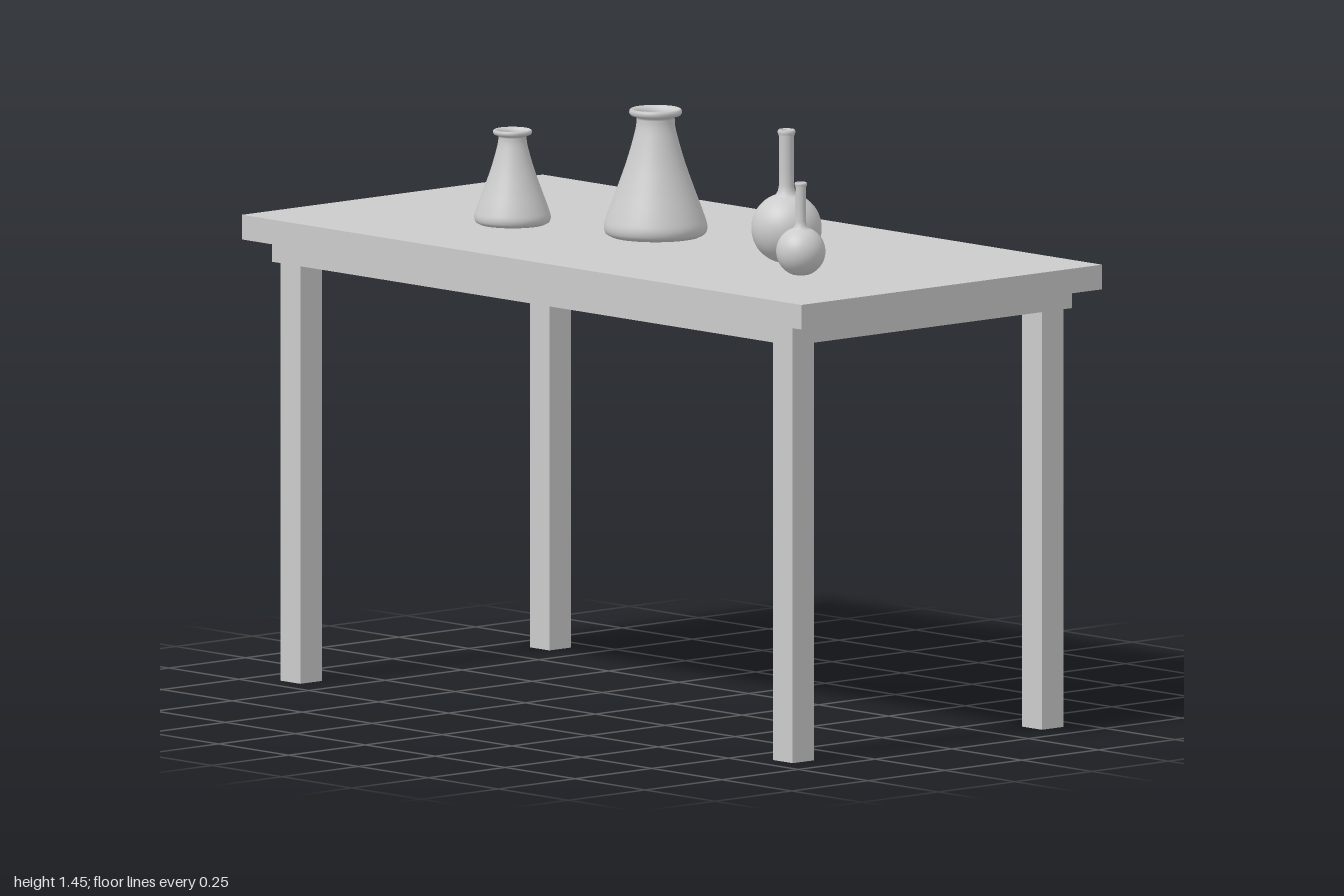
import * as THREE from 'three';

const material = new THREE.MeshStandardMaterial({ color: 0xcccccc });
const glass = new THREE.MeshStandardMaterial({ color: 0xcccccc, side: THREE.DoubleSide });
const TOP = 1.13;

// Box given by its bounds
function box(name, x0, x1, y0, y1, z0, z1) {
  const mesh = new THREE.Mesh(new THREE.BoxGeometry(x1 - x0, y1 - y0, z1 - z0), material);
  mesh.position.set((x0 + x1) / 2, (y0 + y1) / 2, (z0 + z1) / 2);
  mesh.name = name;
  return mesh;
}

const points = (list) => list.map(([r, y]) => new THREE.Vector2(r, y));

// Conical flask: rounded foot, concave shoulder, flared lip, hollow neck
function conicalProfile() {
  const wall = new THREE.CatmullRomCurve3([
    [0.108, 0], [0.121, 0.008], [0.125, 0.024], [0.118, 0.05], [0.094, 0.115],
    [0.071, 0.18], [0.055, 0.235], [0.047, 0.27], [0.046, 0.29],
  ].map(([r, y]) => new THREE.Vector3(r, y, 0)), false, 'centripetal');
  return [
    ...points([[0, 0]]),
    ...wall.getPoints(32).map((p) => new THREE.Vector2(p.x, p.y)),
    ...points([[0.06, 0.294], [0.064, 0.3], [0.063, 0.307], [0.059, 0.31],
      [0.05, 0.305], [0.045, 0.296], [0.043, 0.27], [0.052, 0.235], [0.068, 0.18],
      [0.091, 0.115], [0.115, 0.05], [0.12, 0.024], [0.106, 0.006], [0, 0.006]]),
  ];
}

// Round flask: ball with a small flat foot and a narrow hollow neck
function roundProfile() {
  const profile = points([[0, 0]]);
  const start = -1.22, end = 1.25;
  for (let i = 0; i <= 28; i++) {
    const a = start + (end - start) * i / 28;
    profile.push(new THREE.Vector2(0.085 * Math.cos(a), 0.08 + 0.085 * Math.sin(a)));
  }
  return profile.concat(points([[0.021, 0.17], [0.018, 0.185], [0.0175, 0.22],
    [0.0185, 0.305], [0.021, 0.31], [0.0215, 0.316], [0.019, 0.32],
    [0.014, 0.316], [0.013, 0.3], [0.013, 0.17], [0, 0.165]]));
}

function flask(name, geometry, x, z, scale) {
  const mesh = new THREE.Mesh(geometry, glass);
  mesh.name = name;
  mesh.position.set(x, TOP, z);
  mesh.scale.setScalar(scale);
  return mesh;
}

export function createModel() {
  const model = new THREE.Group();
  model.name = 'tableWithFlasks';

  // Table top
  model.add(box('tableTop', -0.49, 0.49, 1.07, TOP, -1, 1));

  // Apron frame and legs standing inside its corners
  const ax = 0.456, az = 0.93, t = 0.015, leg = 0.07;
  for (const s of [-1, 1]) {
    const cx = s * (ax - t / 2), cz = s * (az - t / 2);
    model.add(box('sideApron', cx - t / 2, cx + t / 2, 1.02, 1.07, -az, az));
    model.add(box('endApron', -ax + t, ax - t, 1.02, 1.07, cz - t / 2, cz + t / 2));
    for (const e of [-1, 1]) {
      const lx = s * (ax - t - leg / 2), lz = e * (az - t - leg / 2);
      model.add(box('leg', lx - leg / 2, lx + leg / 2, 0, 1.07, lz - leg / 2, lz + leg / 2));
    }
  }

  // Flasks
  const conical = new THREE.LatheGeometry(conicalProfile(), 40);
  const round = new THREE.LatheGeometry(roundProfile(), 40);
  model.add(flask('largeConicalFlask', conical, 0.015, -0.075, 1));
  model.add(flask('mediumConicalFlask', conical, -0.105, -0.455, 0.74));
  model.add(flask('smallConicalFlask', conical, 0.185, -0.303, 0.44));
  model.add(flask('largeRoundFlask', round, -0.028, 0.44, 1));
  model.add(flask('smallRoundFlask', round, -0.152, 0.627, 0.7));

  return model;
}
